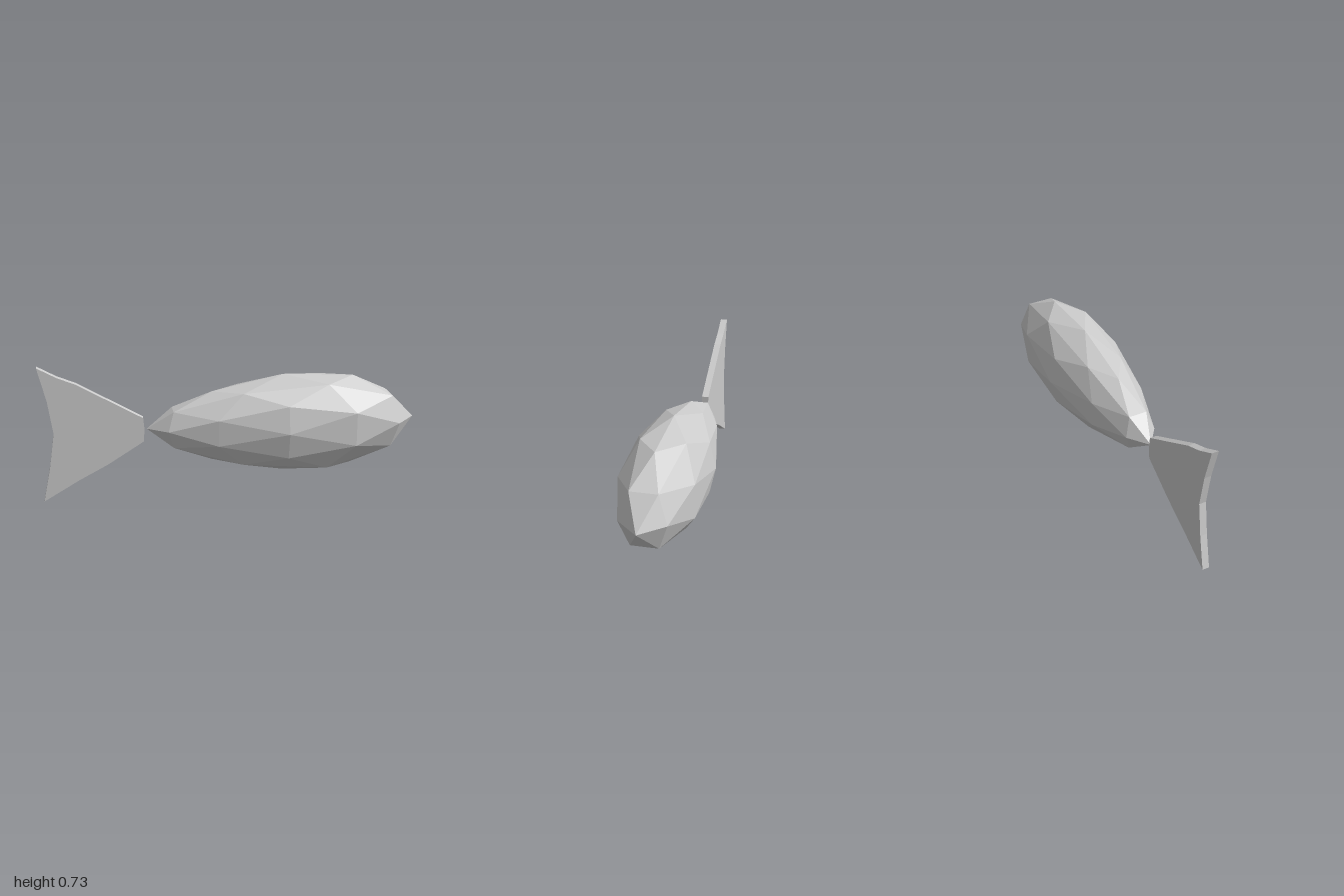
import * as THREE from 'three';

const material = new THREE.MeshStandardMaterial({ color: 0xcccccc, flatShading: true });

// Faceted body: a stretched icosphere, fuller towards the nose and tapering to the tail
function createBody() {
  const geometry = new THREE.IcosahedronGeometry(1, 1);
  const p = geometry.attributes.position;
  for (let i = 0; i < p.count; i++) {
    const u = p.getX(i);
    const girth = 1 + 0.275 * u - 0.16 * u * u - 0.12 * u * u * u;
    p.setXYZ(i, 0.725 * u, 0.268 * girth * p.getY(i), 0.215 * girth * p.getZ(i));
  }
  geometry.computeVertexNormals();
  const body = new THREE.Mesh(geometry, material);
  body.name = 'body';
  body.position.set(0.275, 0.371, 0);
  return body;
}

// Flat forked tail fin, cut from a thin plate
function createTailFin() {
  const outline = [
    [-0.468, 0.307], [-0.463, 0.375], [-0.468, 0.436], [-0.81, 0.634],
    [-0.9, 0.671], [-1, 0.727], [-0.957, 0.55], [-0.932, 0.372],
    [-0.96, 0.19], [-1, 0], [-0.81, 0.11], [-0.66, 0.188],
  ].map(([x, y]) => new THREE.Vector2(x, y));
  const depth = 0.037;
  const geometry = new THREE.ExtrudeGeometry(new THREE.Shape(outline), { depth, bevelEnabled: false });
  geometry.translate(0, 0, -depth / 2);
  const fin = new THREE.Mesh(geometry, material);
  fin.name = 'tailFin';
  return fin;
}

export function createModel() {
  const model = new THREE.Group();
  model.name = 'fish';
  model.add(createBody(), createTailFin());
  return model;
}
